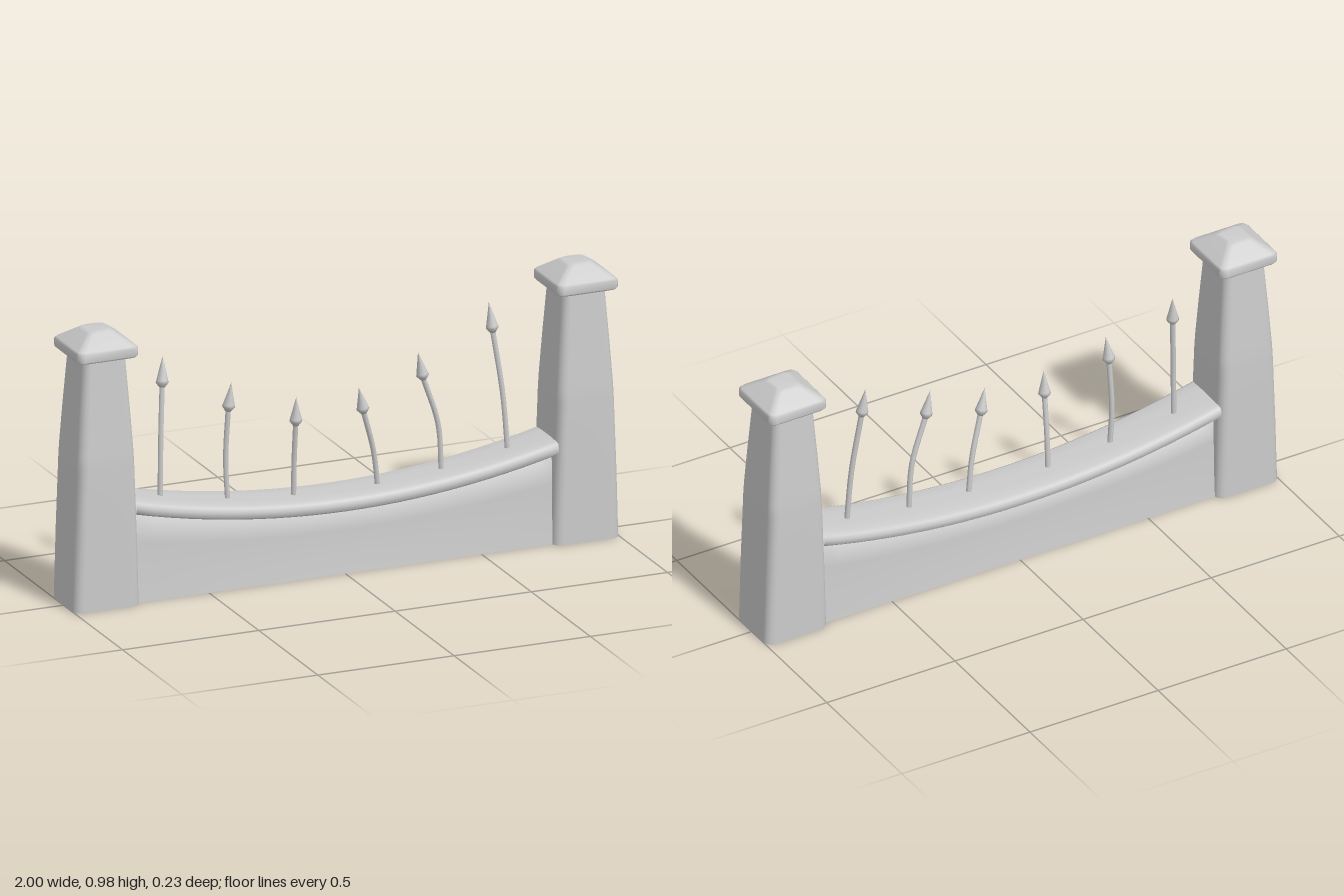
import * as THREE from 'three';

const material = new THREE.MeshStandardMaterial({ color: 0xcccccc, side: THREE.DoubleSide });

function addMesh(parent, geometry, name) {
  const mesh = new THREE.Mesh(geometry, material);
  mesh.name = name;
  parent.add(mesh);
  return mesh;
}

// Smooth skin over rows of [x, y, z] points; closed rows wrap round.
function skin(rows, closed, lid = false) {
  const n = rows[0].length;
  const points = rows.flat();
  const index = [];
  for (let i = 0; i < rows.length - 1; i++) {
    for (let j = 0; j < (closed ? n : n - 1); j++) {
      const a = i * n + j, b = i * n + (j + 1) % n;
      index.push(a, a + n, b, b, a + n, b + n);
    }
  }
  if (lid) {
    const last = (rows.length - 1) * n;
    for (let j = 1; j < n - 1; j++) index.push(last, last + j + 1, last + j);
  }
  const geometry = new THREE.BufferGeometry();
  geometry.setAttribute('position', new THREE.Float32BufferAttribute(points.flat(), 3));
  geometry.setIndex(index);
  geometry.computeVertexNormals();
  return geometry;
}

// Horizontal rounded rectangle at height y with half sizes hx, hz.
function roundedRing([y, hx, hz, r]) {
  const ring = [];
  [[1, 1], [-1, 1], [-1, -1], [1, -1]].forEach(([sx, sz], corner) => {
    for (let k = 0; k <= 3; k++) {
      const a = (corner + k / 3) * Math.PI / 2;
      ring.push([sx * (hx - r) + r * Math.cos(a), y, sz * (hz - r) + r * Math.sin(a)]);
    }
  });
  return ring;
}

// Height of the sagging wall top.
const topAt = (x) => 0.275 + 0.095 * (x / 0.775) ** 2;

// Stretch a (z, y) profile along x.
function sweep(halfLength, profileAt, closed) {
  const rows = [];
  for (let i = 0; i <= 24; i++) {
    const x = halfLength * (i / 12 - 1);
    rows.push(profileAt(x).map(([z, y]) => [x, y, z]));
  }
  return skin(rows, closed);
}

// A half profile on the front, followed by its mirror on the back.
const bothSides = (half) => [...half, ...half.slice().reverse().map(([z, y]) => [-z, y])];

function pillar(side) {
  const group = new THREE.Group();
  group.name = side > 0 ? 'leftPillar' : 'rightPillar';
  group.position.x = side * 0.88;
  // Open-bottomed shaft: y, half width, half depth, corner radius
  addMesh(group, skin([
    [0, 0.12, 0.107, 0.03], [0.25, 0.113, 0.107, 0.03], [0.5, 0.104, 0.106, 0.03],
    [0.55, 0.102, 0.104, 0.03], [0.7, 0.092, 0.095, 0.028], [0.885, 0.078, 0.083, 0.025],
  ].map(roundedRing), true), 'pillarShaft');
  // Cap with sloping top
  addMesh(group, skin([
    [0.876, 0.075, 0.08, 0.02], [0.888, 0.107, 0.111, 0.022], [0.894, 0.112, 0.115, 0.022],
    [0.92, 0.112, 0.115, 0.022], [0.927, 0.106, 0.109, 0.022], [0.968, 0.05, 0.052, 0.018],
    [0.975, 0.04, 0.042, 0.018],
  ].map(roundedRing), true, true), 'pillarCap');
  return group;
}

// Bent rod from base through mid to neck, with a spearhead up to the tip.
function spike([base, mid, neck, tip]) {
  const group = new THREE.Group();
  group.name = 'spike';
  const [b, m, n, t] = [base, mid, neck, tip].map((p) => new THREE.Vector3(...p));
  const path = new THREE.CatmullRomCurve3([b, m, n]);
  addMesh(group, new THREE.TubeGeometry(path, 12, 0.0095, 8), 'spikeRod');
  const direction = t.clone().sub(n);
  const length = direction.length();
  const profile = [[0, -0.008], [0.01, -0.008], [0.022, 0.008], [0.02, 0.016], [0, length]]
    .map(([r, y]) => new THREE.Vector2(r, y));
  const head = addMesh(group, new THREE.LatheGeometry(profile, 10), 'spikeHead');
  head.position.copy(n);
  head.quaternion.setFromUnitVectors(new THREE.Vector3(0, 1, 0), direction.normalize());
  return group;
}

export function createModel() {
  const model = new THREE.Group();
  model.name = 'fence';
  model.add(pillar(1), pillar(-1));

  // Wall flaring gently towards its open foot
  addMesh(model, sweep(0.765, (x) => {
    const h = topAt(x) - 0.04;
    return bothSides([[0.08, 0], [0.071, h * 0.3], [0.064, h * 0.65], [0.061, h]]);
  }, false), 'wall');

  // Coping with softened edges
  addMesh(model, sweep(0.775, (x) => bothSides([
    [0.06, -0.046], [0.088, -0.05], [0.098, -0.042], [0.1, -0.025], [0.094, -0.01], [0.08, -0.002], [0.035, 0],
  ]).map(([z, y]) => [z, y + topAt(x)]), true), 'coping');

  // Spikes: base, mid, neck, tip
  [
    [[-0.642, 0.31, -0.008], [-0.638, 0.53, -0.012], [-0.626, 0.725, -0.028], [-0.62, 0.825, -0.038]],
    [[-0.397, 0.28, 0], [-0.404, 0.44, -0.002], [-0.399, 0.62, 0.008], [-0.391, 0.715, 0.016]],
    [[-0.156, 0.26, 0], [-0.159, 0.4, 0.012], [-0.163, 0.545, 0.035], [-0.164, 0.64, 0.042]],
    [[0.151, 0.26, 0.006], [0.13, 0.4, 0.018], [0.084, 0.555, 0.038], [0.064, 0.645, 0.046]],
    [[0.386, 0.285, 0.001], [0.372, 0.46, 0.006], [0.314, 0.635, 0.012], [0.294, 0.73, 0.016]],
    [[0.631, 0.32, -0.002], [0.616, 0.53, -0.01], [0.585, 0.755, -0.024], [0.574, 0.855, -0.03]],
  ].forEach((points) => model.add(spike(points)));

  return model;
}
